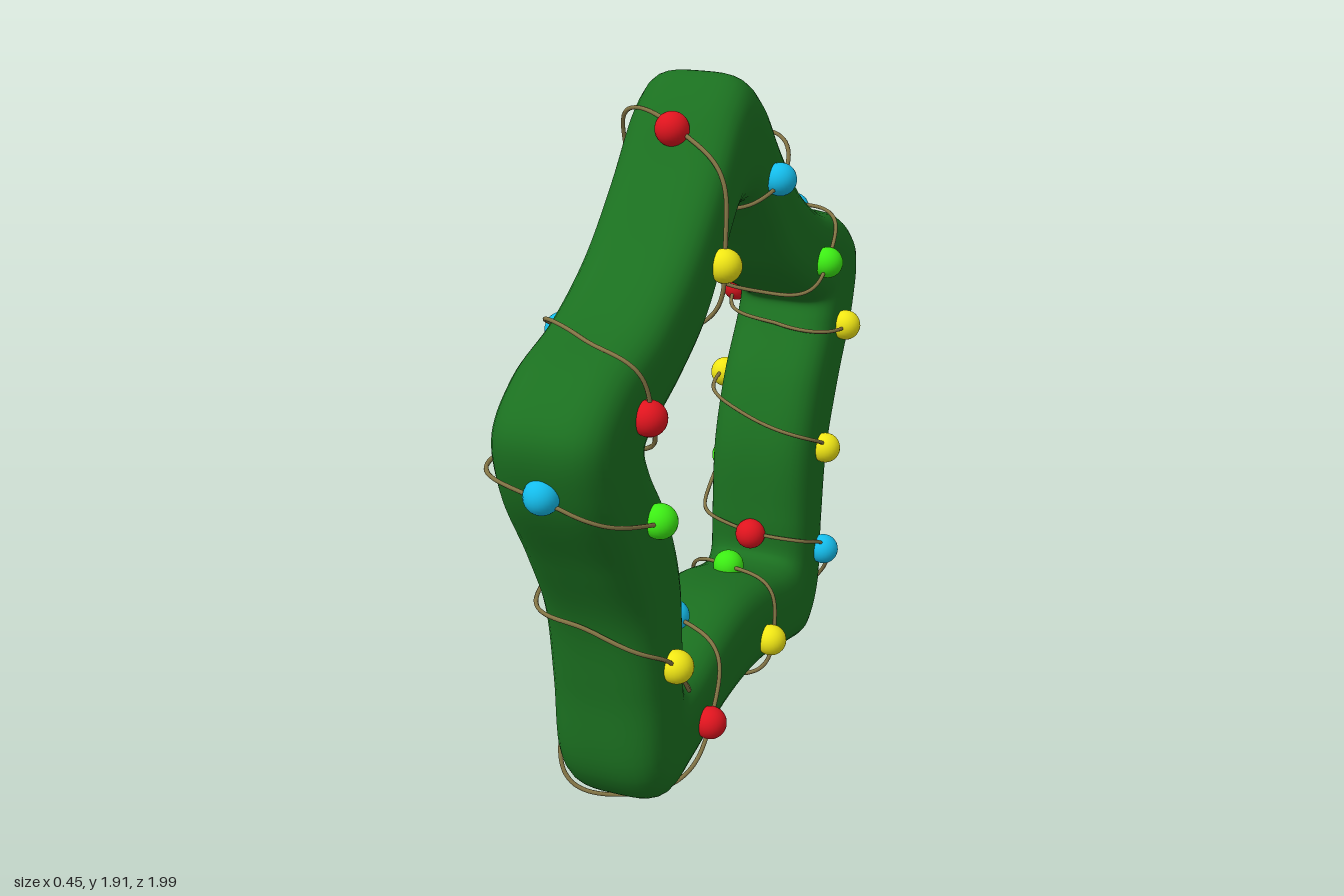
import * as THREE from 'three';

// Half of the star, top to bottom: [outer z, outer y, inner z, inner y]
const HALF = [
  [0, 1.905, 0, 1.54], [0.10, 1.85, 0.07, 1.53], [0.24, 1.69, 0.18, 1.42], [0.42, 1.52, 0.29, 1.29],
  [0.62, 1.40, 0.45, 1.19], [0.85, 1.32, 0.61, 1.11], [0.975, 1.20, 0.645, 1.085], [0.95, 1.03, 0.62, 1.03],
  [0.82, 0.80, 0.51, 0.87], [0.72, 0.60, 0.44, 0.68], [0.68, 0.38, 0.425, 0.45], [0.65, 0.12, 0.42, 0.34],
  [0.56, 0.02, 0.40, 0.325], [0.40, 0.04, 0.34, 0.325], [0.20, 0.085, 0.17, 0.37], [0, 0.10, 0, 0.39],
];
const RING = [...HALF, ...HALF.slice(1, -1).reverse().map(([a, b, c, d]) => [-a, b, -c, d])];
const ringCurve = (k) =>
  new THREE.CatmullRomCurve3(RING.map((p) => new THREE.Vector3(0, p[k + 1], p[k])), true);
const outer = ringCurve(0), inner = ringCurve(2);
const HALF_WIDTH = 0.162;

// Point on the star tube: t runs round the star, a round the rounded-square section, lift is clearance
function surface(t, a, lift = 0) {
  const u = ((t % 1) + 1) % 1;
  const o = outer.getPoint(u), i = inner.getPoint(u);
  const c = Math.cos(a), s = Math.sin(a), n = 3.6;
  const r = 1 / Math.pow(Math.abs(c) ** n + Math.abs(s) ** n, 1 / n);
  const mid = o.clone().add(i).multiplyScalar(0.5);
  const half = o.distanceTo(i) / 2;
  const dir = o.sub(i).normalize();
  mid.addScaledVector(dir, c * r * (half + lift));
  mid.x += s * r * (HALF_WIDTH + lift);
  return mid;
}

// Wire stops [z, y], four per turn: outer edge, +x side, inner edge, -x side
const STOPS = [
  [0.18, 1.785], [0.25, 1.455], [0.28, 1.24], [0.475, 1.305],
  [0.72, 1.37], [0.73, 1.20], [0.62, 1.05], [0.75, 1.085],
  [0.96, 1.055], [0.67, 0.905], [0.46, 0.77], [0.53, 0.68],
  [0.72, 0.59], [0.57, 0.45], [0.40, 0.32], [0.45, 0.275],
  [0.53, 0.01], [0.34, 0.165], [0.185, 0.39], [0.06, 0.22],
  [-0.06, 0.10], [-0.13, 0.20], [-0.23, 0.37], [-0.495, 0.11],
  [-0.67, 0.07], [-0.59, 0.305], [-0.41, 0.40], [-0.66, 0.545],
  [-0.75, 0.57], [-0.585, 0.65], [-0.44, 0.76], [-0.65, 0.83],
  [-0.91, 0.93], [-0.75, 1.0], [-0.60, 1.04], [-0.74, 1.09],
  [-0.755, 1.355], [-0.565, 1.25], [-0.48, 1.17], [-0.40, 1.435],
  [-0.295, 1.67], [-0.15, 1.595], [0, 1.53], [0.06, 1.65],
];
// Bauble at each stop: r red, y yellow, b blue, g green, - none
const BAUBLES = 'ry-b' + '-r-y' + 'bg-r' + '-y-y' + '-rb-' + '-ygb' + '-brg' + '-y-y' + '-y-r' + 'bg-g' + 'yb--';
const COLORS = { r: 0xe0141e, y: 0xf0e614, b: 0x14bdec, g: 0x3cec14 };
const SIDE_X = [0, 0.178, 0, -0.182];
const stopPoints = STOPS.map(([z, y], k) => new THREE.Vector3(SIDE_X[k % 4], y, z));

function starGeometry() {
  const rows = 240, cols = 48, pos = [], index = [];
  for (let i = 0; i < rows; i++) {
    for (let j = 0; j < cols; j++) {
      pos.push(...surface(i / rows, (j / cols) * Math.PI * 2).toArray());
      const i2 = (i + 1) % rows, j2 = (j + 1) % cols;
      const a = i * cols + j, b = i2 * cols + j, c = i2 * cols + j2, d = i * cols + j2;
      index.push(a, b, c, a, c, d);
    }
  }
  const g = new THREE.BufferGeometry();
  g.setAttribute('position', new THREE.Float32BufferAttribute(pos, 3));
  g.setIndex(index);
  g.computeVertexNormals();
  return g;
}

// Wire: find each stop on the tube, then wind smoothly from stop to stop
function wireGeometry() {
  const samples = [];
  for (let i = 0; i < 300; i++) {
    for (let j = 0; j < 40; j++) {
      const t = i / 300, a = (j / 40) * Math.PI * 2;
      samples.push({ t, a, p: surface(t, a) });
    }
  }
  let last = 0;
  const turn = Math.PI * 2;
  const keys = stopPoints.map((p, k) => {
    let best = null, dist = Infinity;
    for (const s of samples) {
      const d = s.p.distanceTo(p);
      if (d < dist) { dist = d; best = s; }
    }
    const t = best.t < last - 0.5 ? best.t + 1 : best.t;
    last = t;
    const a = best.a + turn * Math.round(((k * Math.PI) / 2 - best.a) / turn);
    return new THREE.Vector3(t, a, THREE.MathUtils.clamp(dist, 0.012, 0.04));
  });
  const turns = STOPS.length / 4;
  keys.push(keys[0].clone().add(new THREE.Vector3(1, turn * turns, 0)));
  const path = new THREE.CatmullRomCurve3(keys);
  const pts = [];
  for (let i = 0; i < 528; i++) {
    const q = path.getPoint(i / 528);
    pts.push(surface(q.x, q.y, q.z));
  }
  return new THREE.TubeGeometry(new THREE.CatmullRomCurve3(pts, true), 1200, 0.006, 6, true);
}

export function createModel() {
  const model = new THREE.Group();
  model.name = 'starWreath';
  const add = (name, geometry, material) => {
    const mesh = new THREE.Mesh(geometry, material);
    mesh.name = name;
    model.add(mesh);
    return mesh;
  };
  const paint = (color) => new THREE.MeshStandardMaterial({ color });

  add('starFrame', starGeometry(), paint(0x1b7020));
  add('lightWire', wireGeometry(), paint(0x857646));

  // Baubles along the wire
  const ball = new THREE.SphereGeometry(0.046, 24, 16);
  const paints = Object.fromEntries(Object.entries(COLORS).map(([k, c]) => [k, paint(c)]));
  stopPoints.forEach((p, k) => {
    if (BAUBLES[k] !== '-') add('bauble', ball, paints[BAUBLES[k]]).position.copy(p);
  });
  return model;
}
